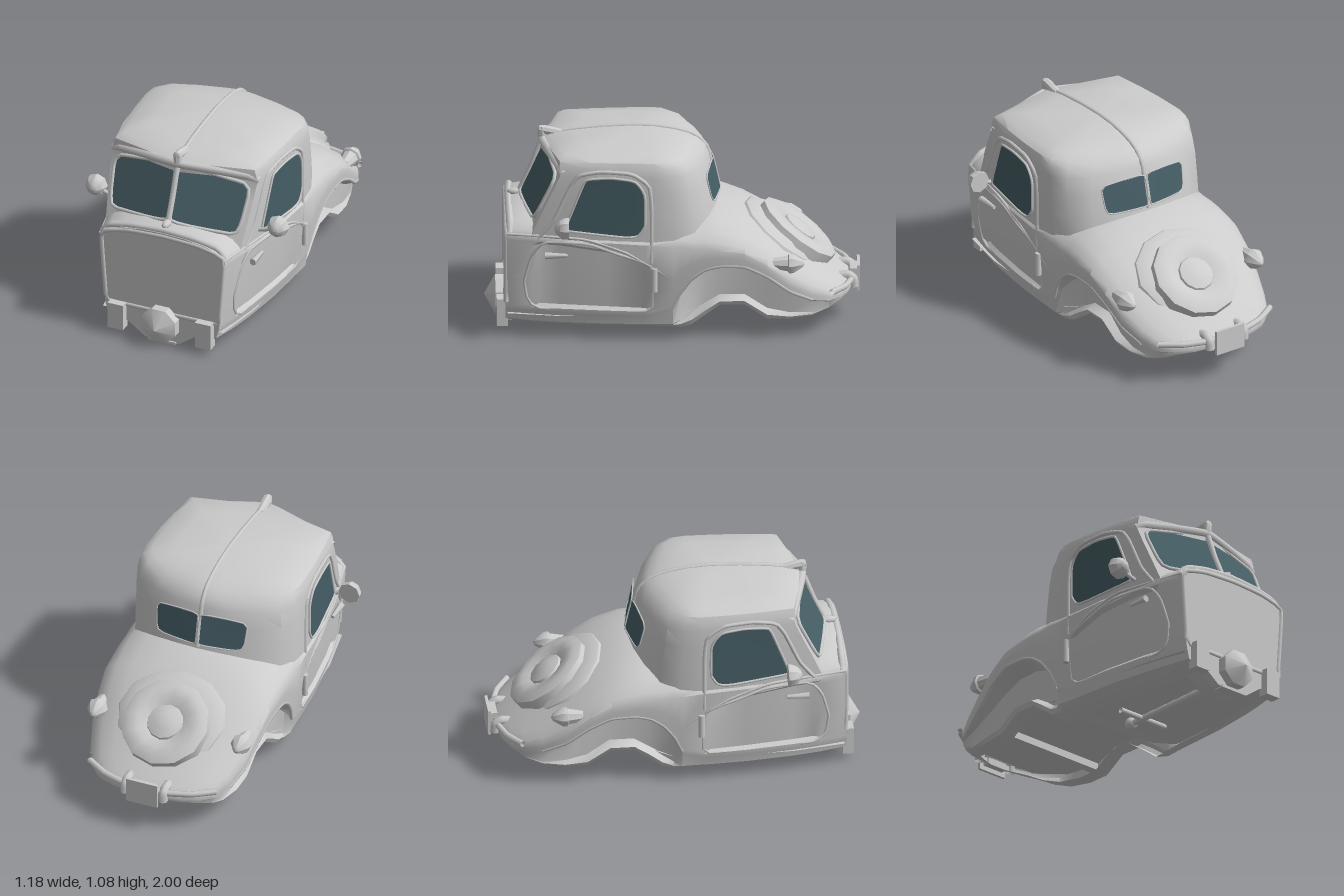
import * as THREE from 'three';
import { toCreasedNormals } from 'three/addons/utils/BufferGeometryUtils.js';

const grey = new THREE.MeshStandardMaterial({ color: 0xcccccc, side: THREE.DoubleSide });
const glass = new THREE.MeshStandardMaterial({ color: 0x465f66, side: THREE.DoubleSide });
const V = (x, y, z) => new THREE.Vector3(x, y, z);
const lerp = THREE.MathUtils.lerp;

export function createModel() {
  const model = new THREE.Group();

  const add = (name, geo, mat = grey) => {
    const m = new THREE.Mesh(geo, mat);
    m.name = name;
    model.add(m);
    return m;
  };
  // surface through rows of points
  const loft = (rows) => {
    const n = rows[0].length, idx = [];
    for (let i = 0; i < rows.length - 1; i++)
      for (let j = 0; j < n - 1; j++) {
        const a = i * n + j, b = a + n;
        idx.push(a, a + 1, b, a + 1, b + 1, b);
      }
    const g = new THREE.BufferGeometry().setFromPoints(rows.flat());
    g.setIndex(idx);
    return toCreasedNormals(g, 0.65);
  };
  const tube = (name, pts, r, closed = false, sides = 7) =>
    add(name, new THREE.TubeGeometry(new THREE.CatmullRomCurve3(pts, closed, 'catmullrom', 0.2), pts.length * 4, r, sides, closed));
  const box = (name, w, h, d, x, y, z) => {
    const m = add(name, new THREE.BoxGeometry(w, h, d));
    m.position.set(x, y, z);
    return m;
  };
  const turned = (name, pts, sides) =>
    add(name, toCreasedNormals(new THREE.LatheGeometry(pts.map(p => new THREE.Vector2(...p)), sides), 0.6));
  // glass pane laid on a surface, with a frame round it
  const pane = (name, outline, map, r) => {
    const g = new THREE.ShapeGeometry(new THREE.Shape(outline.map(p => new THREE.Vector2(...p))));
    const p = g.attributes.position;
    for (let i = 0; i < p.count; i++) p.setXYZ(i, ...map(p.getX(i), p.getY(i)).toArray());
    g.computeVertexNormals();
    add(name, g, glass);
    tube(name + 'Frame', outline.map(q => map(...q)), r, true);
  };

  // half width of the body along z
  const sideX = (z) => 0.477 - 0.115 * Math.max(0, (z - 0.1) / 0.8) ** 2;

  // lower body: z, half width, top, shoulder, arch, bottom, arch depth
  const stations = [
    [0.89, 0, 0.665, 0.58, 0.15, 0.08, 0], [0.86, 0, 0.685, 0.58, 0.15, 0.08, 0],
    [0.75, 0, 0.70, 0.57, 0.15, 0.075, 0], [0.71, 0, 0.69, 0.57, 0.15, 0.075, 0], [0.6, 0, 0.67, 0.56, 0.15, 0.075, 0],
    [0.35, 0, 0.66, 0.56, 0.15, 0.075, 0], [0.15, 0, 0.66, 0.55, 0.15, 0.075, 0], [0.12, 0, 0.66, 0.55, 0.15, 0.075, 0],
    [0, 0.48, 0.68, 0.54, 0.19, 0.07, 0], [-0.04, 0.48, 0.69, 0.54, 0.28, 0.065, 0.04],
    [-0.1, 0.48, 0.69, 0.53, 0.36, 0.08, 0.08], [-0.17, 0.48, 0.69, 0.53, 0.41, 0.13, 0.1],
    [-0.25, 0.48, 0.685, 0.52, 0.43, 0.185, 0.11], [-0.38, 0.477, 0.625, 0.5, 0.425, 0.185, 0.11],
    [-0.5, 0.465, 0.565, 0.43, 0.365, 0.105, 0.09], [-0.62, 0.445, 0.48, 0.335, 0.275, 0.1, 0.06],
    [-0.74, 0.405, 0.39, 0.265, 0.215, 0.11, 0.03], [-0.83, 0.36, 0.325, 0.23, 0.195, 0.14, 0.01],
    [-0.89, 0.295, 0.275, 0.22, 0.195, 0.17, 0], [-0.93, 0.21, 0.245, 0.215, 0.195, 0.18, 0], [-0.95, 0.12, 0.225, 0.21, 0.195, 0.185, 0]];
  const crown = [[0, 0], [0.35, 0.06], [0.65, 0.25], [0.85, 0.5], [0.96, 0.78], [1, 1]];
  const sill = (w, S, y) => w * (1 - 0.1 * Math.max(0, (S - y) / 0.44) ** 1.5);
  const rows = stations.map(([z, wide, T, S, A, B, d]) => {
    const w = wide || sideX(z), a = sill(w, S, A);
    const half = crown.map(([k, f]) => V(k * w, lerp(T, S, f), z));
    // door is sunk below its top line
    const doorTop = z > 0 ? 0.36 + 0.19 * Math.min(1, z / 0.45) ** 0.7 : lerp(S, A, 0.5);
    const sunk = z > 0.13 && z < 0.73 ? 0.022 : 0;
    for (const [f, k] of [[0, 0], [0.05, 1], [0.5, 1], [0.9, 1], [0.95, 0]]) {
      const y = lerp(doorTop, A, f);
      half.push(V(sill(w, S, y) - k * sunk, y, z));
    }
    // sill underside slopes down and inward
    const foot = Math.max(0.02, a - d * 0.4 - 0.13), dip = z > -0.05 && z < 0.8 ? 0.03 : 0;
    half.push(V(a, A, z), V(a - d - 0.004, lerp(A, B, 0.15), z),
      V(a - d - 0.015, lerp(A, B, 0.8), z), V(a - d * 0.4 - 0.03, lerp(A, B, 0.9), z),
      V(a - d * 0.4 - 0.045, B, z), V(foot, B - dip, z));
    const left = half.slice(1).reverse().map(p => V(-p.x, p.y, p.z));
    return [...left, ...half];
  });
  add('lowerBody', loft(rows));
  [[rows[0], 'firewall'], [rows[rows.length - 1], 'tailPanel']].forEach(([row, name]) => {
    const g = new THREE.ShapeGeometry(new THREE.Shape(row.map(p => new THREE.Vector2(p.x, p.y))));
    add(name, g).position.z = row[0].z;
  });
  // floor pan closing the underside
  add('floor', loft([[0.88, 0.35, 0.13], [0.6, 0.4, 0.13], [0, 0.42, 0.13], [-0.12, 0.38, 0.16], [-0.25, 0.35, 0.23],
    [-0.4, 0.35, 0.23], [-0.55, 0.36, 0.18], [-0.75, 0.33, 0.18], [-0.9, 0.22, 0.2]].map(([z, x, y]) => [V(-x, y, z), V(x, y, z)])));

  // cabin: rings stacked by y, with front z, scale, rear z and extra rounding at the back
  const levels = [[0.56, 0.86, 0.978, -0.275, 0], [0.7, 0.8, 0.982, -0.245, 0], [0.83, 0.74, 0.982, -0.215, 0],
    [0.92, 0.7, 0.978, -0.195, 0.15], [0.965, 0.7, 0.968, -0.175, 0.4], [1, 0.695, 0.94, -0.135, 0.6],
    [1.025, 0.65, 0.85, -0.085, 0.7], [1.045, 0.52, 0.6, -0.01, 0.7], [1.06, 0.36, 0.3, 0.08, 0.6], [1.066, 0.2, 0.001, 0.2, 0.6]];
  const rear = [[1, 0], [0.985, 0.3], [0.89, 0.6], [0.66, 0.8], [0.35, 0.944], [0, 1]];
  add('cabin', loft(levels.map(([y, zF, s, zR, round]) => {
    const zC = zF - 0.1 * s, xC = sideX(zC) * s, z0 = Math.min(zC, lerp(0.2, 0.1, s));
    const half = [V(0, y, zF), V(xC / 2, y, (zF + zC) / 2), V(xC, y, zC)];
    for (const t of [0.33, 0.67]) half.push(V(sideX(lerp(zC, z0, t)) * s, y, lerp(zC, z0, t)));
    for (const [k, f] of rear) half.push(V(0.477 * s * k ** (1 + round), y, lerp(z0, zR, f)));
    return [...half, ...half.slice(0, -1).reverse().map(p => V(-p.x, p.y, p.z))];
  })));

  // spine over the roof, windscreen bar and roof ornament
  tube('roofRib', [V(0, 1.02, 0.66), V(0, 1.043, 0.52), V(0, 1.058, 0.36), V(0, 1.064, 0.2), V(0, 1.058, 0.08), V(0, 1.043, -0.01),
    V(0, 1.023, -0.085), V(0, 0.998, -0.135), V(0, 0.94, -0.185), V(0, 0.7, -0.247)], 0.013);
  tube('windscreenBar', [V(0, 0.7, 0.812), V(0, 0.83, 0.752), V(0, 0.97, 0.7)], 0.016);
  const ornament = turned('roofOrnament', [[0, -0.07], [0.022, -0.06], [0.026, 0.03], [0.02, 0.06], [0, 0.065]], 8);
  ornament.rotation.x = Math.PI / 2 - 0.2;
  ornament.position.set(0, 1.035, 0.65);
  const drop = turned('ornamentDrop', [[0, -0.06], [0.018, -0.055], [0.026, 0.02], [0.02, 0.045], [0, 0.05]], 8);
  drop.position.set(0, 1.015, 0.69);
  const nub = add('cowlNub', new THREE.SphereGeometry(0.03, 8, 6));
  nub.scale.set(0.8, 0.7, 1.6);
  nub.position.set(0, 0.695, 0.83);

  // curved mouldings across the front
  const across = (pts) => [...pts.slice(1).reverse().map(p => V(-p.x, p.y, p.z)), ...pts];
  tube('visorLip', across([V(0, 0.99, 0.69), V(0.2, 0.975, 0.645), V(0.37, 0.955, 0.6), V(0.42, 0.93, 0.58)]), 0.024);
  tube('cowlMoulding', across([V(0, 0.672, 0.87), V(0.18, 0.66, 0.868), V(0.31, 0.632, 0.865), V(0.36, 0.58, 0.865)]), 0.02);
  tube('firewallFrame', across([V(0, 0.645, 0.885), V(0.2, 0.635, 0.885), V(0.33, 0.605, 0.885), V(0.355, 0.57, 0.885),
    V(0.33, 0.22, 0.885), V(0.31, 0.18, 0.885)]), 0.014, true);

  for (const s of [1, -1]) {
    const side = s > 0 ? 'left' : 'right';
    const cab = (off) => (z, y) => V(s * (sideX(z) + off), y, z);
    const panel = (z, y) => V(s * (sill(sideX(z), 0.56, y) - 0.003), y, z);

    pane(side + 'Windscreen', [[0.012, 0.705], [0.33, 0.668], [0.365, 0.68], [0.38, 0.73], [0.392, 0.88], [0.365, 0.918], [0.3, 0.932], [0.012, 0.968]],
      (x, y) => V(s * x, y, 0.812 - 0.46 * (y - 0.7) - 0.235 * x), 0.01);
    pane(side + 'DoorWindow', [[0.57, 0.64], [0.47, 0.9], [0.43, 0.917], [0.33, 0.925], [0.21, 0.91], [0.17, 0.87], [0.15, 0.82], [0.15, 0.66], [0.19, 0.6], [0.27, 0.595], [0.55, 0.62]],
      cab(0.001), 0.007);
    pane(side + 'RearWindow', [[0.012, 0.72], [0.22, 0.715], [0.25, 0.735], [0.26, 0.85], [0.235, 0.875], [0.012, 0.885]],
      (x, y) => V(s * x, y, 0.084 + (-0.345 + 0.23 * (y - 0.7)) * (1 - 0.46 * (x / 0.468) ** 2)), 0.004);

    // door and wing trim
    tube(side + 'DoorTrim', [[0.79, 0.32], [0.75, 0.47], [0.68, 0.55], [0.45, 0.55], [0.3, 0.5], [0.12, 0.43], [0.11, 0.2], [0.16, 0.165], [0.7, 0.165], [0.77, 0.21]]
      .map(p => panel(...p)), 0.008, true, 6);
    tube(side + 'Pillar', [[0.72, 0.56], [0.63, 0.68], [0.55, 0.86], [0.5, 0.93], [0.38, 0.955], [0.22, 0.945], [0.13, 0.88], [0.115, 0.76], [0.115, 0.45]]
      .map(p => cab(-0.01)(...p)), 0.011);
    tube(side + 'BeltMoulding', [[0.88, 0.58], [0.47, 0.575], [0.25, 0.505], [0.04, 0.375], [-0.02, 0.29]].map(p => panel(...p)), 0.008);
    tube(side + 'ArchLip', stations.filter(q => q[0] <= 0 && q[0] > -0.8).map(([z, w, T, S, A]) => V(s * (sill(w, S, A) - 0.008), A, z)), 0.011);

    // door handle and hinge
    const handle = add(side + 'DoorHandle', new THREE.CylinderGeometry(0.02, 0.01, 0.12, 6));
    handle.rotation.x = Math.PI / 2;
    handle.position.set(s * 0.432, 0.48, 0.62);
    const hinge = add(side + 'Hinge', new THREE.CylinderGeometry(0.017, 0.017, 0.13, 8));
    hinge.position.set(s * 0.473, 0.355, 0.1);

    // wing mirror on its arm
    const mirror = turned(side + 'Mirror', [[0, 0], [0.06, 0], [0.06, 0.02], [0.048, 0.048], [0.025, 0.07], [0, 0.078]], 8);
    mirror.rotation.x = Math.PI / 2;
    mirror.position.set(s * 0.53, 0.665, 0.555);
    tube(side + 'MirrorArm', [V(s * 0.42, 0.625, 0.58), V(s * 0.47, 0.64, 0.58), V(s * 0.52, 0.66, 0.58)], 0.012);

    // tail lamp
    const lamp = turned(side + 'TailLamp', [[0, -0.09], [0.03, -0.08], [0.045, 0], [0.056, 0.005], [0.053, 0.03], [0.02, 0.08], [0, 0.09]], 8);
    lamp.rotation.x = -Math.PI / 2;
    lamp.position.set(s * 0.415, 0.425, -0.61);
    box(side + 'LampFoot', 0.03, 0.08, 0.06, s * 0.405, 0.375, -0.6);

    // front mounts and bumper guards
    box(side + 'FrontMount', 0.09, 0.15, 0.06, s * 0.255, 0.115, 0.905);
    tube(side + 'BumperGuard', [V(s * 0.11, 0.25, -0.87), V(s * 0.11, 0.255, -0.93), V(s * 0.11, 0.235, -0.96), V(s * 0.11, 0.19, -0.965)], 0.026);
  }

  // spare wheel cover on the sloping tail
  const tilt = -0.66;
  const base = turned('spareBase', [[0.1, 0.01], [0.24, 0.01], [0.3, -0.02], [0.34, -0.1]], 12);
  base.scale.z = 0.85;
  base.rotation.x = tilt;
  base.position.set(0, 0.49, -0.61);
  const cover = turned('spareCover', [[0, 0.03], [0.05, 0.025], [0.095, 0.01], [0.1, -0.002], [0.15, 0.018], [0.2, 0.018], [0.24, 0], [0.25, -0.1]], 12);
  cover.rotation.x = tilt;
  cover.position.set(0, 0.488, -0.68);

  // rear bumper and plate
  tube('rearBumper', across([V(0, 0.235, -0.955), V(0.12, 0.235, -0.95), V(0.25, 0.24, -0.915), V(0.365, 0.245, -0.845)]), 0.017);
  box('rearPlate', 0.18, 0.14, 0.016, 0, 0.23, -0.99);
  box('plateHolder', 0.13, 0.09, 0.04, 0, 0.23, -0.965);

  // gearbox housing, skirt and underside
  const bell = turned('gearboxCone', [[0, 0.15], [0.105, 0.09], [0.105, 0], [0.07, -0.1], [0.025, -0.16], [0, -0.16]], 8);
  bell.rotation.set(Math.PI / 2, Math.PI / 8, 0);
  bell.position.set(0, 0.12, 0.85);
  const skirt = [[-0.24, 0.1], [-0.2, 0.08], [-0.1, 0.008], [0.1, 0.008], [0.2, 0.08], [0.24, 0.1]];
  add('gearboxSkirt', new THREE.ExtrudeGeometry(new THREE.Shape(skirt.map(p => new THREE.Vector2(...p))), { depth: 0.05, bevelEnabled: false })).position.z = 0.84;
  add('gearboxTray', loft([0.85, 0.73].map((z, i) => skirt.map(([x, y]) => V(x, y + i * 0.02, z)))));
  box('skirtFoot', 0.16, 0.015, 0.06, 0, 0.0075, 0.87);
  tube('driveShaft', [V(0, 0.09, 0.74), V(0, 0.085, 0.4), V(0, 0.08, 0.1)], 0.018);
  tube('crossShaft', [V(-0.16, 0.08, 0.19), V(0, 0.08, 0.19), V(0.16, 0.08, 0.19)], 0.016);
  add('shaftKnuckle', new THREE.SphereGeometry(0.035, 8, 6)).position.set(0, 0.08, 0.1);
  box('rearCrossMember', 0.68, 0.04, 0.05, 0, 0.15, -0.55);

  return model;
}
